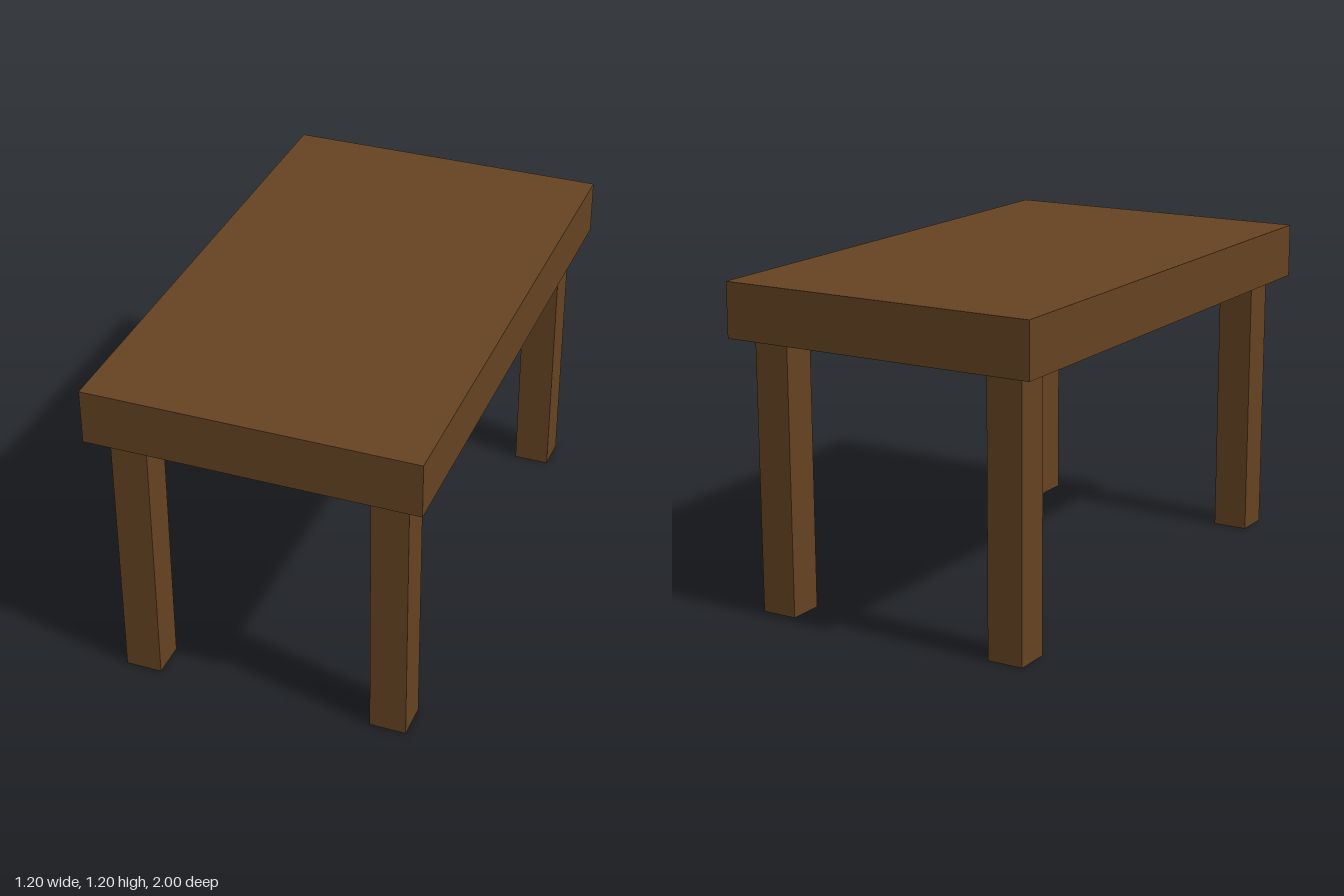
import * as THREE from 'three';

export function createModel() {
  const table = new THREE.Group();
  table.name = 'table';

  const wood = new THREE.MeshStandardMaterial({ color: 0x654321 });
  wood.name = 'dark brown wood';

  const addBox = (name, w, h, d, x, y, z) => {
    const mesh = new THREE.Mesh(new THREE.BoxGeometry(w, h, d), wood);
    mesh.name = name;
    mesh.position.set(x, y, z);
    table.add(mesh);
  };

  // Thick slab top
  addBox('tableTop', 1.2, 0.2, 2, 0, 1.1, 0);

  // Four square legs, set in from the corners
  const legWidth = 0.1333;
  for (const [end, sz] of [['front', 1], ['back', -1]]) {
    for (const [side, sx] of [['Left', 1], ['Right', -1]]) {
      addBox(`${end}${side}Leg`, legWidth, 1, legWidth, sx * 0.4667, 0.5, sz * 0.8667);
    }
  }

  return table;
}
